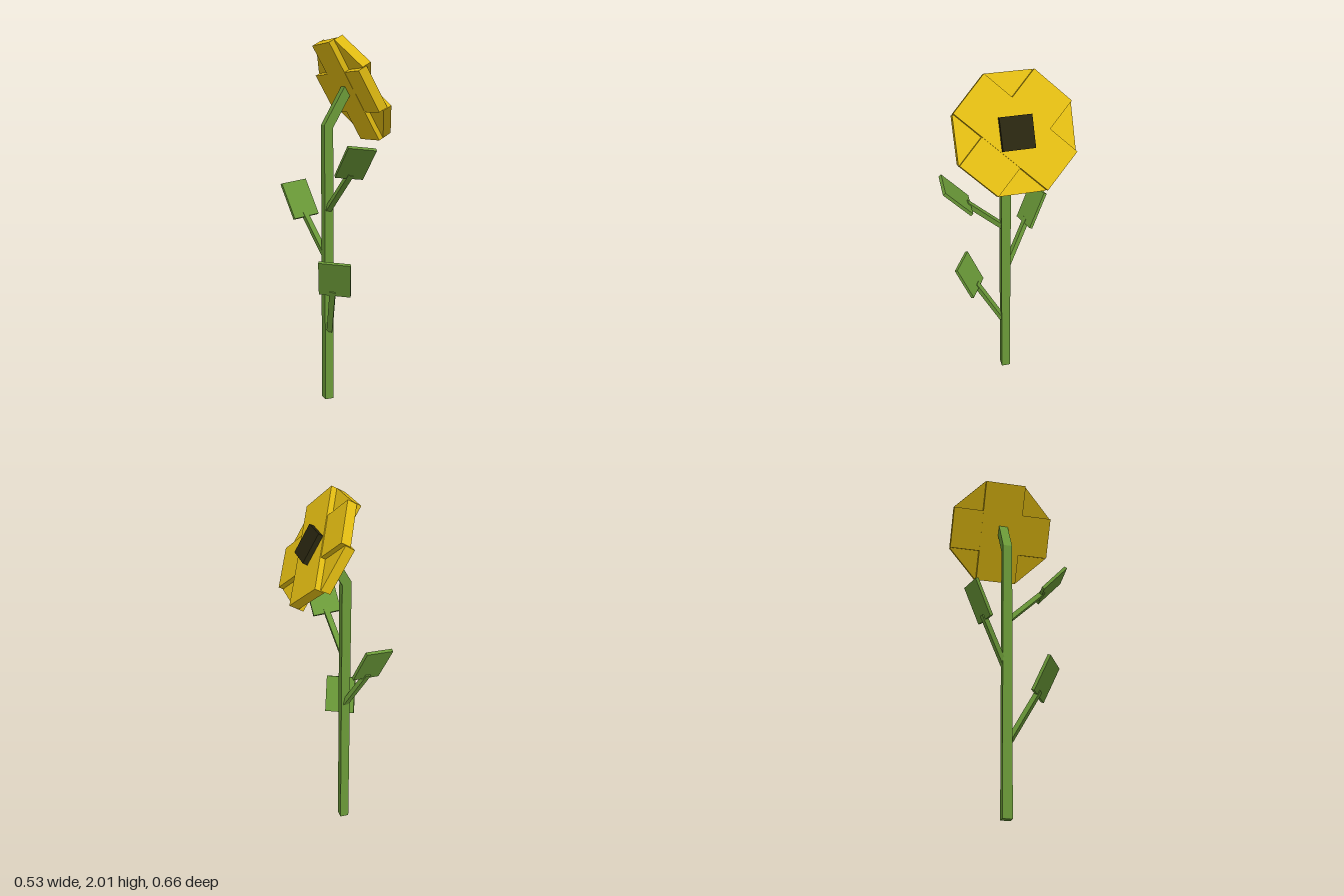
import * as THREE from 'three';

const mat = (name, color) => {
  const m = new THREE.MeshStandardMaterial({ color });
  m.name = name;
  return m;
};

const V = (a) => new THREE.Vector3(...a);

export function createModel() {
  const green = mat('leaf green', 0x6b9a38);
  const yellow = mat('petal yellow', 0xe2bc12);
  const dark = mat('seed brown', 0x28250f);
  const flower = new THREE.Group();
  flower.name = 'flower';

  const box = (name, size, material, parent) => {
    const m = new THREE.Mesh(new THREE.BoxGeometry(...size), material);
    m.name = name;
    parent.add(m);
    return m;
  };

  // Box-section stem with a mitred bend under the head
  const outline = new THREE.Shape([
    [-0.095, 0], [-0.045, 0], [-0.045, 1.528], [0.067, 1.7215], [0.023, 1.7465], [-0.095, 1.542],
  ].map(([x, y]) => new THREE.Vector2(x, y)));
  const stem = new THREE.Mesh(
    new THREE.ExtrudeGeometry(outline, { depth: 0.052, bevelEnabled: false }), green);
  stem.name = 'stem';
  stem.position.z = -0.052;
  flower.add(stem);

  // Head: local +x is the direction the flower looks
  const head = new THREE.Group();
  head.name = 'head';
  head.position.set(0.066, 1.725, -0.036);
  head.rotation.z = Math.PI / 6;
  flower.add(head);

  // Four crossed bars make eight petals: [quarter turns / 2, depth]
  [[0, 0], [2, 0.001], [1, 0.031], [-1, 0.026]].forEach(([turn, depth]) => {
    const bar = box('petalPair', [0.052, 0.586, 0.238], yellow, head);
    bar.position.x = depth;
    bar.rotation.x = turn * Math.PI / 4;
  });

  // Seed disc
  box('seedCentre', [0.052, 0.162, 0.162], dark, head).position.x = 0.057;

  // Leaves: upper corner, next upper corner, lower corner below the first, stalk ends
  const leaves = [
    { a: [-0.203, 0.838, 0.174], b: [-0.056, 0.822, 0.261], c: [-0.167, 0.648, 0.091],
      from: [-0.065, 0.4, -0.008], to: [-0.108, 0.665, 0.14] },
    { a: [-0.265, 1.21, -0.229], b: [-0.11, 1.23, -0.264], c: [-0.222, 1.02, -0.139],
      from: [-0.07, 0.81, -0.04], to: [-0.152, 1.055, -0.172] },
    { a: [-0.098, 1.438, 0.314], b: [0.058, 1.424, 0.321], c: [-0.11, 1.28, 0.173],
      from: [-0.072, 1.085, -0.008], to: [-0.029, 1.293, 0.193] },
  ];

  // Turns a box so its x follows side and its y follows up
  const orient = (mesh, side, up) => {
    const y = up.clone().normalize();
    const x = side.clone().addScaledVector(y, -side.dot(y)).normalize();
    const z = new THREE.Vector3().crossVectors(x, y);
    mesh.quaternion.setFromRotationMatrix(new THREE.Matrix4().makeBasis(x, y, z));
  };

  leaves.forEach(({ a, b, c, from, to }) => {
    const leaf = new THREE.Group();
    leaf.name = 'leaf';
    flower.add(leaf);
    const side = V(b).sub(V(a));
    const up = V(a).sub(V(c));
    const blade = box('blade', [side.length(), up.length(), 0.018], green, leaf);
    blade.position.copy(V(b)).add(V(c)).multiplyScalar(0.5);
    orient(blade, side, up);

    const run = V(to).sub(V(from));
    const stalk = box('stalk', [0.031, run.length(), 0.027], green, leaf);
    stalk.position.copy(V(from)).add(V(to)).multiplyScalar(0.5);
    orient(stalk, side, run);
  });

  return flower;
}
